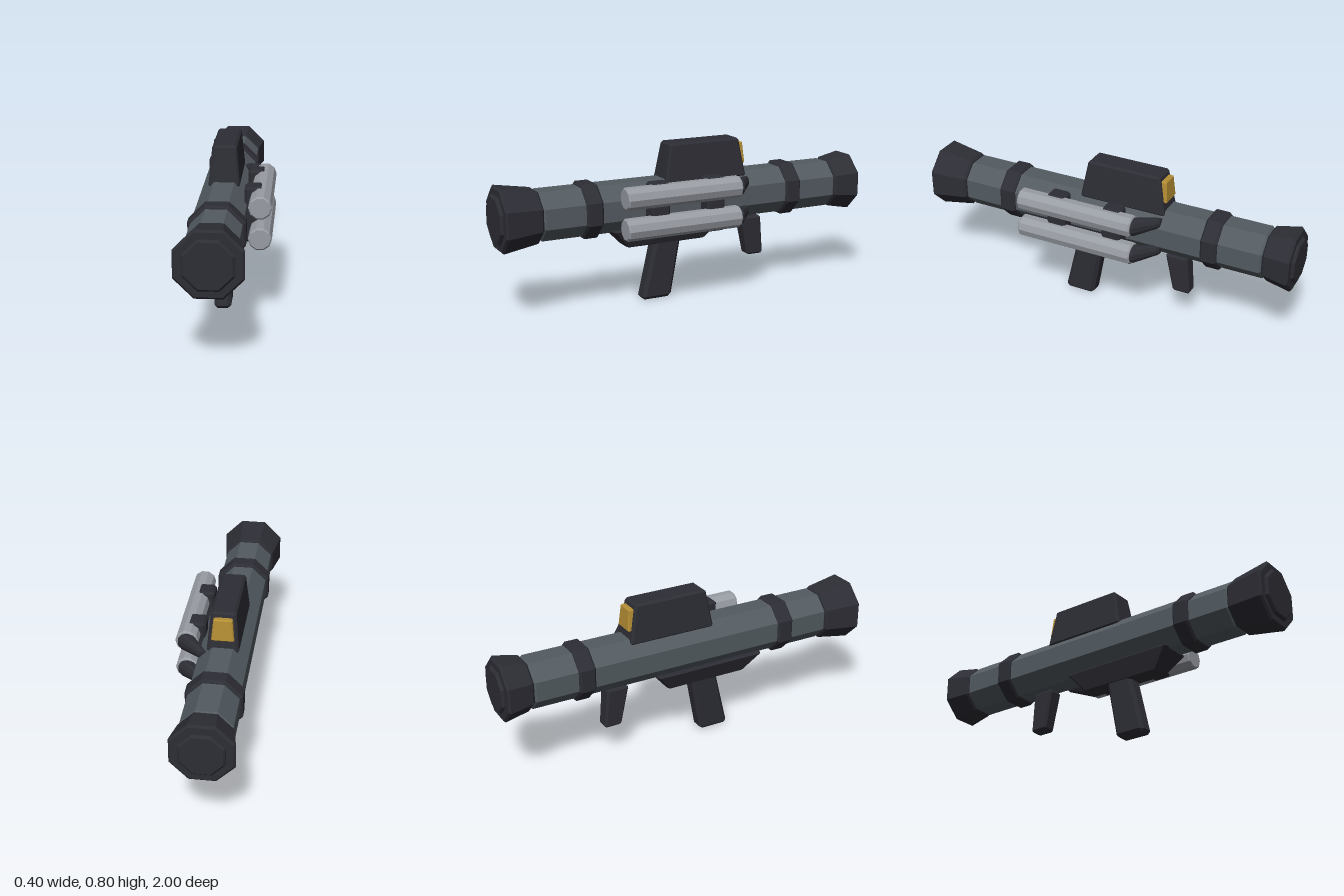
import * as THREE from 'three';
import { ConvexGeometry } from 'three/addons/geometries/ConvexGeometry.js';

const AX = -0.045, AY = 0.505; // main tube axis

const mat = (name, color) => {
  const m = new THREE.MeshStandardMaterial({ color });
  m.name = name;
  return m;
};

// Faceted turned part along z; profile is [apothem, z] from back to front
function turned(profile, sides) {
  const k = 1 / Math.cos(Math.PI / sides);
  const pts = profile.map(([r, z]) => new THREE.Vector2(r * k, z));
  let g = new THREE.LatheGeometry(pts, sides, Math.PI / sides);
  g.rotateX(Math.PI / 2);
  g = g.toNonIndexed();
  g.computeVertexNormals();
  return g;
}

// Closed drum with bevelled rims, r0 at z0 and r1 at z1
const drum = (r0, z0, r1, z1, b = 0.01) => [
  [0, z0], [r0 - b, z0], [r0, z0 + b], [r1, z1 - b], [r1 - b, z1], [0, z1]];

// Tapered box with chamfered edges; each level is [y, xHalf, zBack, zFront]
function block(bottom, top, b, cx = AX) {
  const corner = (i, j, k) => {
    const [y, hx, zb, zf] = j ? top : bottom;
    return new THREE.Vector3(cx + (i ? hx : -hx), y, k ? zf : zb);
  };
  const pts = [];
  for (let n = 0; n < 8; n++) {
    const i = n & 1, j = (n >> 1) & 1, k = n >> 2;
    const p = corner(i, j, k);
    const e = [corner(1 - i, j, k), corner(i, 1 - j, k), corner(i, j, 1 - k)]
      .map(q => q.sub(p).setLength(b));
    for (let a = 0; a < 3; a++) {
      pts.push(p.clone().add(e[a]).add(e[(a + 1) % 3]));
    }
  }
  return new ConvexGeometry(pts);
}

// Skewed cone bending from the rear of a side pipe into the main tube
function nozzle(y) {
  const pts = [];
  for (const [cx, r, z] of [[0.145, 0.045, -0.205], [0.143, 0.045, -0.228], [0.058, 0.027, -0.312], [0.05, 0.019, -0.32]]) {
    for (let i = 0; i < 10; i++) {
      const a = (i + 0.5) / 10 * Math.PI * 2;
      pts.push(new THREE.Vector3(cx + r * Math.cos(a), y + r * Math.sin(a), z));
    }
  }
  return new ConvexGeometry(pts);
}

export function createModel() {
  const model = new THREE.Group();
  model.name = 'shoulderLauncher';
  const dark = mat('darkPolymer', 0x2d2d35);
  const steel = mat('tubeGrey', 0x535b61);
  const silver = mat('silver', 0x989ca3);
  const gold = mat('goldLens', 0xb58f35);

  const add = (name, geometry, material, x = 0, y = 0, z = 0) => {
    const m = new THREE.Mesh(geometry, material);
    m.name = name;
    m.position.set(x, y, z);
    model.add(m);
    return m;
  };

  // Main tube, flared ends and bands
  add('mainTube', turned(drum(0.12, -0.845, 0.12, 0.79), 8), steel, AX, AY);
  add('frontBell', turned(drum(0.128, 0.79, 0.155, 0.985), 8), dark, AX, AY);
  add('frontCap', turned(drum(0.115, 0.96, 0.115, 1.0), 8), dark, AX, AY);
  add('rearBell', turned(drum(0.147, -0.985, 0.125, -0.845), 8), dark, AX, AY);
  add('rearCap', turned(drum(0.105, -1.0, 0.105, -0.96), 8), dark, AX, AY);
  for (const z of [0.533, -0.58]) {
    add('band', turned(drum(0.134, -0.043, 0.134, 0.043), 8), dark, AX, AY, z);
  }

  // Sight box with its rear lens
  add('sight', block([0.6, 0.078, -0.325, 0.135], [0.8, 0.06, -0.288, 0.098], 0.01), dark);
  add('sightLens', block([0.665, 0.055, -0.328, -0.3], [0.775, 0.045, -0.318, -0.28], 0.005), gold);

  // Side pipes with nozzles, carried by two brackets
  for (const y of [0.58, 0.427]) {
    add('sidePipe', turned(drum(0.054, -0.215, 0.054, 0.408, 0.007), 10), silver, 0.145, y);
    add('pipeNozzle', nozzle(y), dark);
  }
  for (const z of [0.215, -0.09]) {
    add('pipeBracket', block([0.363, 0.043, z - 0.05, z + 0.05], [0.64, 0.043, z - 0.05, z + 0.05], 0.012, 0.107), dark);
  }

  // Underbody and grips
  add('underbody', block([0.292, 0.045, -0.1, 0.33], [0.395, 0.088, -0.185, 0.425], 0.01), dark);
  add('mainGrip', block([0.003, 0.042, 0.088, 0.25], [0.32, 0.044, 0.03, 0.175], 0.017), dark);
  add('rearGrip', block([0.162, 0.036, -0.457, -0.365], [0.372, 0.042, -0.438, -0.322], 0.01), dark);

  return model;
}
